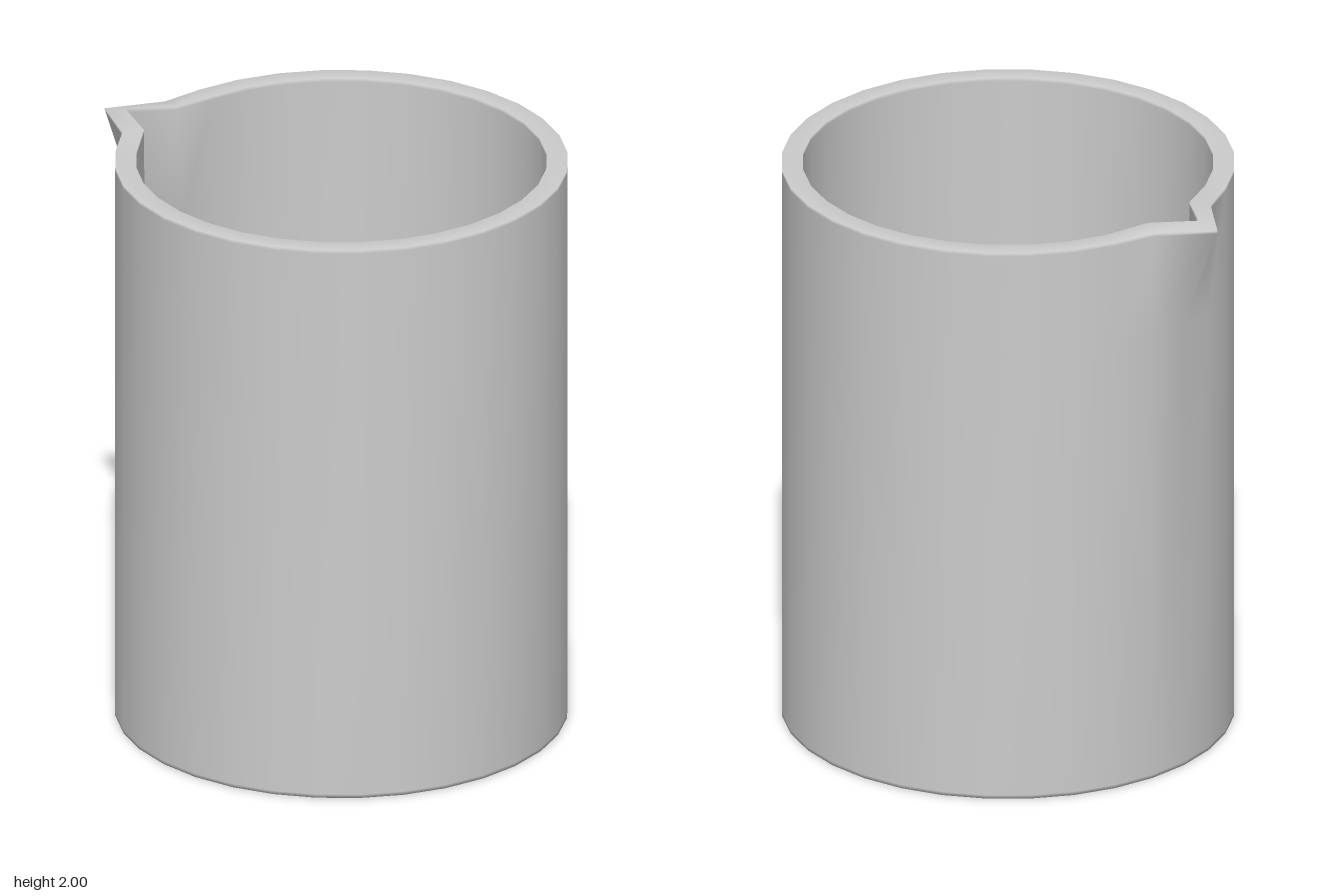
import * as THREE from 'three';

const SIDES = 32, CENTRE_X = 0.07, OUTER = 0.755, INNER = 0.685;
const RIM = 1.985, SPOUT_START = 1.6, FLOOR = 0.07;

// Wall section from the underside, up the outside, over the rim, down the inside.
const profile = [
  [OUTER, 0], [OUTER, 0.012], [OUTER, SPOUT_START], [OUTER, RIM - 0.012], [OUTER, RIM],
  [INNER, RIM], [INNER, RIM - 0.012], [INNER, SPOUT_START], [INNER, FLOOR + 0.012], [INNER, FLOOR],
];

// Offsets [x, |z|, y] at the rim, by number of sides away from the spout tip.
const outerSpout = [[-0.145, 0, 0], [-0.01, 0, 0]];
const innerSpout = [[-0.135, 0, 0.015], [-0.018, -0.024, 0.008]];

function wallPoint(r, y, i) {
  const a = (i / SIDES) * Math.PI * 2;
  const p = [CENTRE_X + r * Math.cos(a), y, -r * Math.sin(a)];
  const away = Math.abs(i - SIDES / 2);
  const pull = (r === OUTER ? outerSpout : innerSpout)[away];
  const t = Math.max(0, (y - SPOUT_START) / (RIM - SPOUT_START));
  if (pull && t > 0) {
    p[0] += pull[0] * t;
    p[1] += pull[2] * t;
    p[2] += Math.sign(p[2]) * pull[1] * t;
  }
  return p;
}

function beakerGeometry() {
  const positions = [], index = [];
  for (const [r, y] of profile) {
    for (let i = 0; i < SIDES; i++) positions.push(...wallPoint(r, y, i));
  }
  const under = positions.length / 3, floor = under + 1;
  positions.push(CENTRE_X, 0, 0, CENTRE_X, FLOOR, 0);
  const last = (profile.length - 1) * SIDES;

  for (let i = 0; i < SIDES; i++) {
    const j = (i + 1) % SIDES;
    for (let k = 0; k < last; k += SIDES) {
      index.push(k + i, k + j, k + SIDES + j, k + i, k + SIDES + j, k + SIDES + i);
    }
    index.push(under, j, i); // underside
    index.push(floor, last + i, last + j); // inner floor
  }
  const geometry = new THREE.BufferGeometry();
  geometry.setAttribute('position', new THREE.Float32BufferAttribute(positions, 3));
  geometry.setIndex(index);
  geometry.computeVertexNormals();
  return geometry;
}

export function createModel() {
  const group = new THREE.Group();
  group.name = 'beaker';
  const vessel = new THREE.Mesh(beakerGeometry(), new THREE.MeshStandardMaterial({ color: 0xcccccc }));
  vessel.name = 'vesselWithSpout';
  group.add(vessel);
  return group;
}
